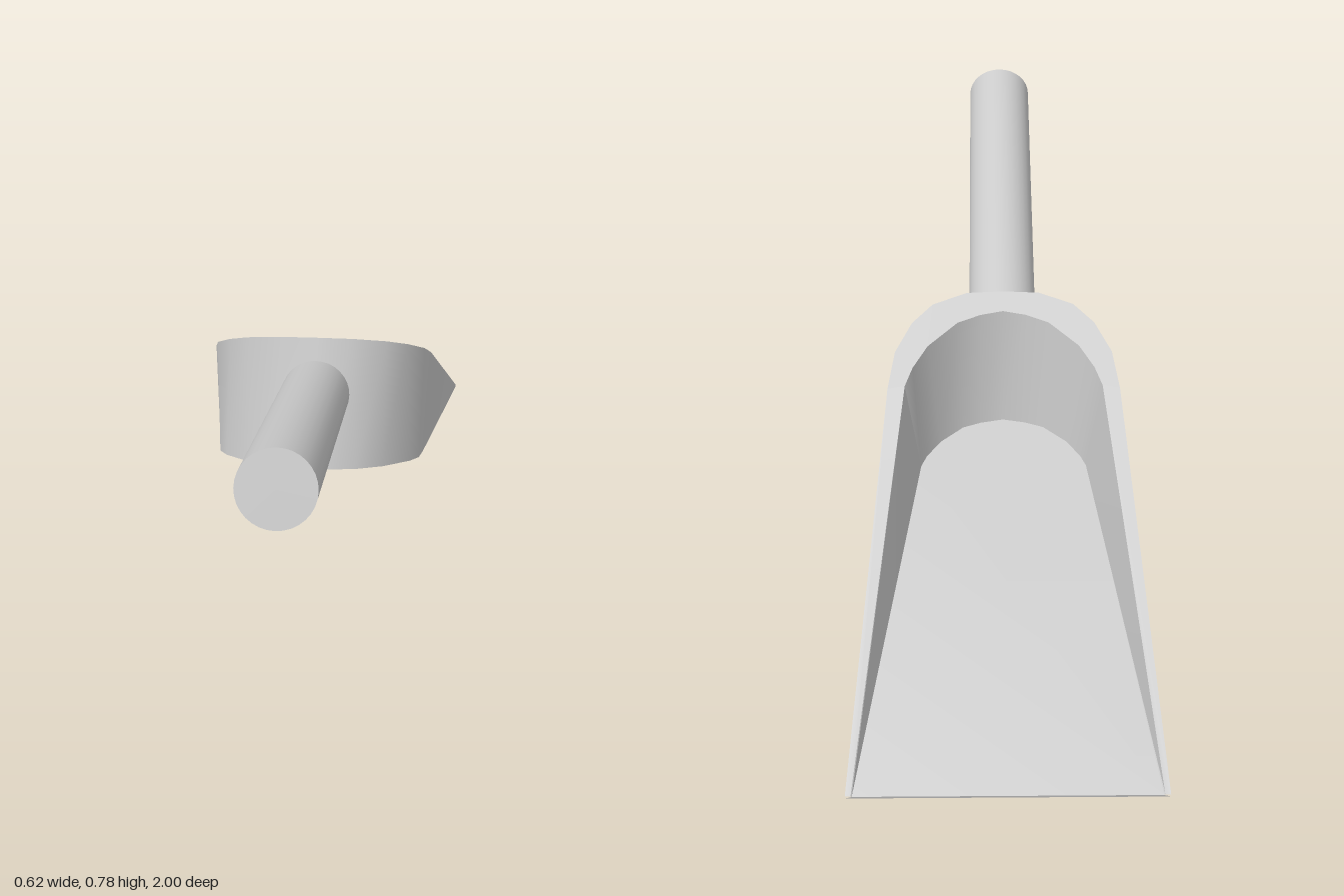
import * as THREE from 'three';
import { toCreasedNormals } from 'three/addons/utils/BufferGeometryUtils.js';

const grey = () => new THREE.MeshStandardMaterial({ color: 0xcccccc });

// Half outlines as [x, z], running from the blade tip to the middle of the back.
const BASE = [[0.31, 0], [0.238, 0.89], [0.23, 0.965], [0.21, 1.01], [0.15, 1.08], [0.09, 1.12], [0, 1.14]];
const RIM_OUT = [[0.31, 0], [0.25, 0.893], [0.236, 0.985], [0.2, 1.06], [0.155, 1.108], [0.08, 1.138], [0, 1.142]];
const RIM_IN = [[0.299, 0], [0.213, 0.9], [0.197, 0.945], [0.165, 1.0], [0.1, 1.06], [0.05, 1.08], [0, 1.09]];
const FLOOR = [[0.297, 0], [0.182, 0.87], [0.17, 0.9], [0.14, 0.945], [0.09, 0.99], [0.05, 1.005], [0, 1.015]];

// Lifts an outline to a height that depends on z; gives +x half, -x half and the full row.
function row(outline, height) {
  const left = outline.map(([x, z]) => [x, height(z), z]);
  const right = left.map(([x, y, z]) => [-x, y, z]);
  return { left, right, full: [...left, ...right.slice(0, -1).reverse()] };
}

// Skin between two rows of equal length.
function strip(out, a, b) {
  for (let i = 0; i < a.length - 1; i++) {
    out.push(...a[i], ...b[i], ...a[i + 1], ...b[i], ...b[i + 1], ...a[i + 1]);
  }
}

function scoopGeometry() {
  const rimHeight = (z) => 0.007 + 0.254 * z;
  const base = row(BASE, () => 0);
  const rimOut = row(RIM_OUT, rimHeight);
  const rimIn = row(RIM_IN, rimHeight);
  const floor = row(FLOOR, (z) => 0.005 + 0.02 * z);

  const p = [];
  strip(p, base.full, rimOut.full);    // outer wall
  strip(p, rimOut.full, rimIn.full);   // rim
  strip(p, rimIn.full, floor.full);    // inner wall
  strip(p, floor.left, floor.right);   // floor
  strip(p, base.right, base.left);     // underside
  strip(p, [floor.left[0], floor.right[0]], [base.left[0], base.right[0]]); // blade edge
  const g = new THREE.BufferGeometry();
  g.setAttribute('position', new THREE.Float32BufferAttribute(p, 3));
  return toCreasedNormals(g, 0.6);
}

export function createModel() {
  const model = new THREE.Group();
  model.name = 'handScoop';

  const scoop = new THREE.Mesh(scoopGeometry(), grey());
  scoop.name = 'scoop';

  // Handle, rooted in the back wall
  const start = 1.1, end = 2.096;
  const handle = new THREE.Mesh(new THREE.CylinderGeometry(0.075, 0.075, end - start, 32), grey());
  handle.name = 'handle';
  handle.rotation.x = Math.PI / 2;
  handle.position.set(0, 0.17, (start + end) / 2);

  // The whole tool lies tilted, with the blade tip touching the ground
  const tool = new THREE.Group();
  tool.name = 'tiltedTool';
  tool.add(scoop, handle);
  tool.rotation.x = -THREE.MathUtils.degToRad(15);
  tool.position.z = -1;
  model.add(tool);
  return model;
}
